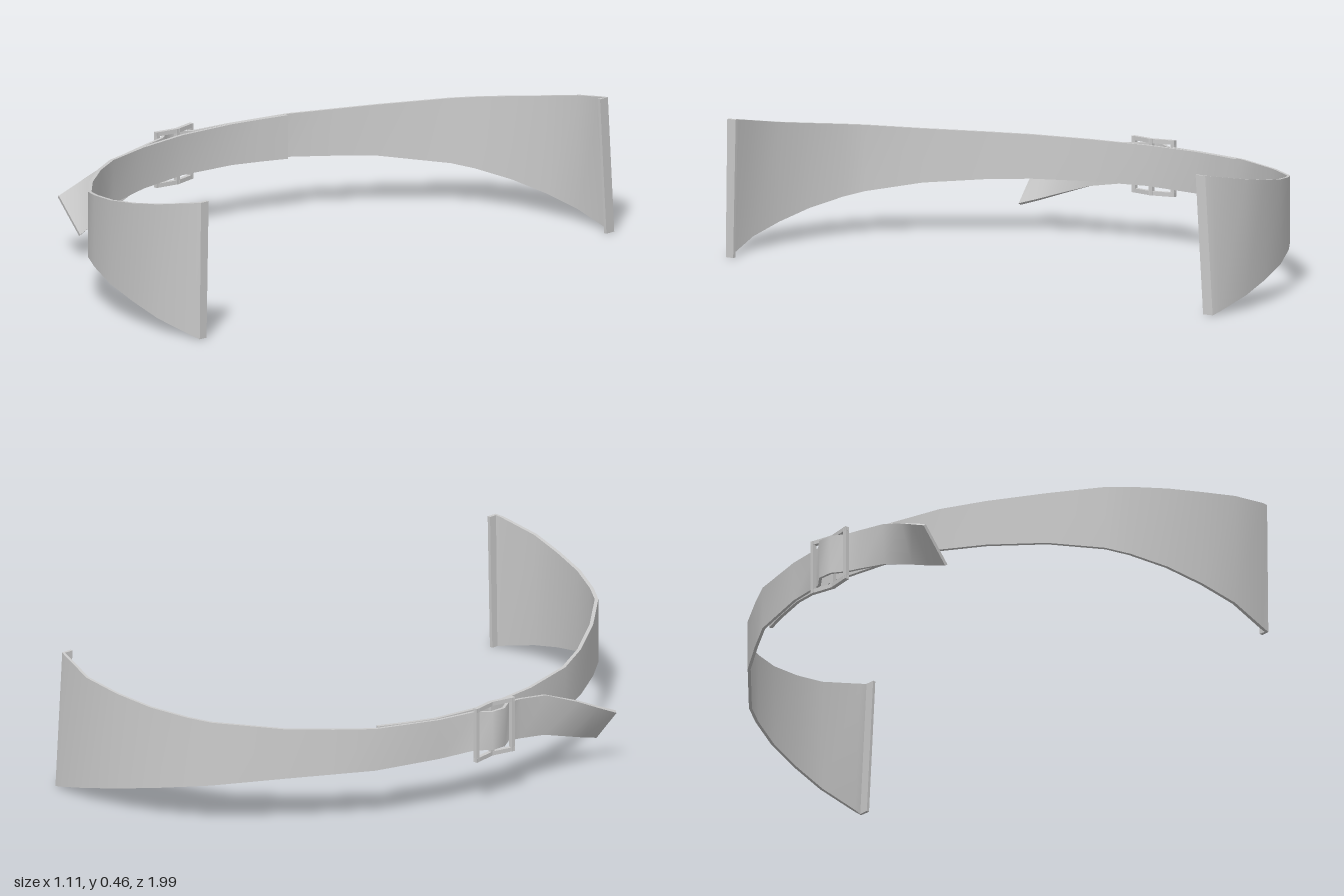
import * as THREE from 'three';
import { toCreasedNormals } from 'three/addons/utils/BufferGeometryUtils.js';

const material = new THREE.MeshStandardMaterial({ color: 0xcccccc });

// Lower and upper edge of the strap, widening towards its ends: x, bottom, top
const WIDTHS = [[-0.6, 0.2, 0.333], [-0.48, 0.2, 0.335], [-0.3, 0.189, 0.35], [-0.2, 0.18, 0.36], [0, 0.143, 0.385],
  [0.2, 0.1, 0.41], [0.4, 0.05, 0.445], [0.55, 0.01, 0.473]];

function edges(x) {
  let i = 1;
  while (i < WIDTHS.length - 1 && x > WIDTHS[i][0]) i++;
  const a = WIDTHS[i - 1], b = WIDTHS[i];
  const t = (x - a[0]) / (b[0] - a[0]);
  return [1, 2].map((k) => THREE.MathUtils.lerp(a[k], b[k], t));
}

// An upright cross-section of the strap; lean shifts top and bottom apart in z
function station([x, z, lean = 0]) {
  const [lo, hi] = edges(x);
  return [new THREE.Vector3(x, lo, z - lean), new THREE.Vector3(x, hi, z + lean)];
}

// A thick ribbon through [bottom, top] pairs
function ribbon(name, stations, thickness = 0.012) {
  const mids = stations.map(([b, t]) => b.clone().add(t).multiplyScalar(0.5));
  const pos = [], index = [], last = stations.length - 1;
  stations.forEach(([b, t], i) => {
    const dir = mids[Math.min(i + 1, last)].clone().sub(mids[Math.max(i - 1, 0)]);
    const n = dir.cross(t.clone().sub(b)).setLength(thickness / 2);
    for (const p of [b.clone().add(n), t.clone().add(n), t.clone().sub(n), b.clone().sub(n)]) pos.push(p.x, p.y, p.z);
    if (i === last) return;
    for (let j = 0; j < 4; j++) {
      const a = i * 4 + j, c = i * 4 + (j + 1) % 4;
      index.push(a, a + 4, c + 4, a, c + 4, c);
    }
  });
  const e = last * 4;
  index.push(0, 1, 2, 0, 2, 3, e, e + 2, e + 1, e, e + 3, e + 2);
  const geo = new THREE.BufferGeometry();
  geo.setAttribute('position', new THREE.Float32BufferAttribute(pos, 3));
  geo.setIndex(index);
  const mesh = new THREE.Mesh(toCreasedNormals(geo, 0.7), material);
  mesh.name = name;
  return mesh;
}

// A square bar between two points
function bar(name, a, b, size = 0.014) {
  const from = new THREE.Vector3(...a), to = new THREE.Vector3(...b);
  const mesh = new THREE.Mesh(new THREE.BoxGeometry(size, size, from.distanceTo(to) + size), material);
  mesh.position.copy(from).add(to).multiplyScalar(0.5);
  mesh.lookAt(to);
  mesh.name = name;
  return mesh;
}

function createModel() {
  const model = new THREE.Group();
  model.name = 'buckledStrap';

  // Front half with its end lip, running on inside the buckle to the overlap end
  const front = [[0.546, 0.935, -0.005], [0.546, 0.964, -0.003], [0.52, 0.969], [0.38, 0.987], [0.25, 0.972], [0.12, 0.943],
    [0, 0.892], [-0.07, 0.85], [-0.2, 0.71], [-0.32, 0.548], [-0.397, 0.41], [-0.452, 0.21], [-0.478, 0],
    [-0.457, -0.21], [-0.424, -0.32], [-0.392, -0.41]];
  model.add(ribbon('frontStrap', front.map(station)));

  // Back half with its end lip, passing out through the buckle and over its bar
  const back = [[0.546, -0.928, 0.015], [0.546, -0.963, 0.015], [0.52, -0.968, 0.012], [0.38, -0.99], [0.25, -0.975],
    [0.12, -0.945], [0, -0.893], [-0.07, -0.85], [-0.24, -0.675], [-0.33, -0.545], [-0.404, -0.43], [-0.471, -0.21],
    [-0.492, -0.07], [-0.529, -0.025], [-0.529, 0.025], [-0.499, 0.07]];

  // Loose tail, twisting outwards and drooping: bottom corner, top corner
  const tail = [
    [[-0.493, 0.192, 0.13], [-0.494, 0.33, 0.13]],
    [[-0.485, 0.174, 0.24], [-0.494, 0.315, 0.24]],
    [[-0.474, 0.136, 0.36], [-0.522, 0.27, 0.36]],
    [[-0.465, 0.113, 0.43], [-0.54, 0.238, 0.43]],
    [[-0.456, 0.092, 0.5], [-0.554, 0.207, 0.5]],
  ].map((pair) => pair.map((p) => new THREE.Vector3(...p)));
  model.add(ribbon('backStrapAndTail', [...back.map(station), ...tail], 0.01));

  // Buckle frame, slightly bent at its middle bar
  const buckle = new THREE.Group();
  buckle.name = 'buckle';
  const lo = 0.173, hi = 0.347, outer = -0.512, inner = -0.497, half = 0.078;
  for (const z of [-half, half]) {
    buckle.add(bar('buckleSide', [outer, lo, z], [outer, hi, z]));
    for (const y of [lo, hi]) buckle.add(bar('buckleRail', [inner, y, 0], [outer, y, z]));
  }
  buckle.add(bar('buckleMiddleBar', [inner, lo, 0], [inner, hi, 0]));
  model.add(buckle);

  return model;
}

export { createModel };
